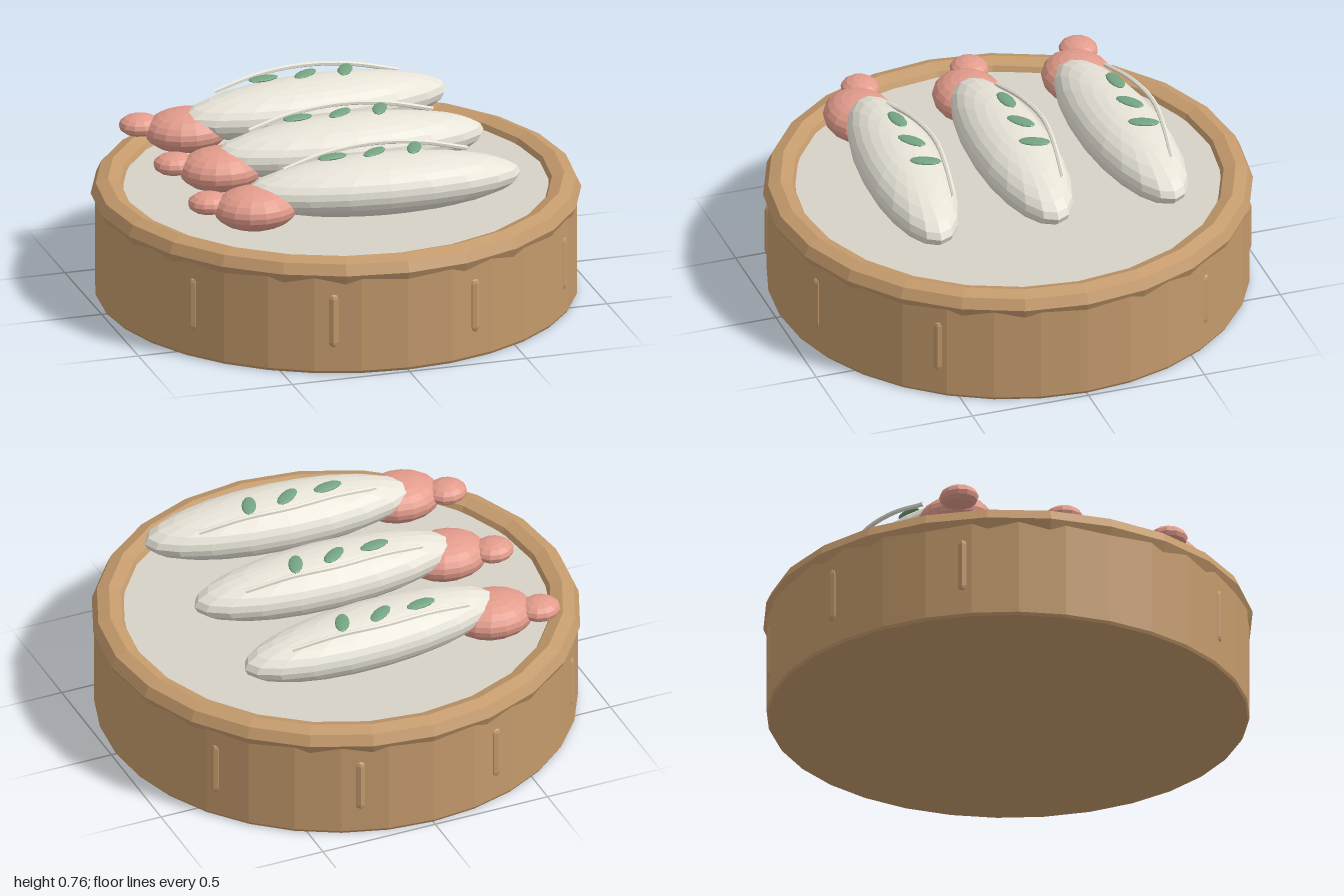
import * as THREE from 'three';

function mat(name, color) {
  const m = new THREE.MeshStandardMaterial({ color, flatShading: true });
  m.name = name;
  return m;
}

export function createModel() {
  const bamboo = mat('bamboo', 0xc49a6c);
  const cloth = mat('cloth', 0xd6d2c6);
  const rice = mat('rice', 0xe8e4d8);
  const pink = mat('pink', 0xe39c8c);
  const green = mat('green', 0x74a482);

  const model = new THREE.Group();
  const add = (parent, name, geometry, material, x = 0, y = 0, z = 0) => {
    const mesh = new THREE.Mesh(geometry, material);
    mesh.name = name;
    mesh.position.set(x, y, z);
    parent.add(mesh);
    return mesh;
  };
  const ellipsoid = (rx, ry, rz, w, h) => new THREE.SphereGeometry(1, w, h).scale(rx, ry, rz);

  // Round basket wall with a closed bottom and a small bevel at its foot
  const wall = [[0, 0], [0.978, 0], [0.985, 0.012], [0.985, 0.42], [0, 0.42]];
  add(model, 'basketWall', new THREE.LatheGeometry(wall.map(p => new THREE.Vector2(...p)), 32), bamboo);

  // Faceted rim
  const rim = new THREE.TorusGeometry(0.93, 0.07, 8, 24).rotateX(Math.PI / 2).scale(1, 0.9, 1);
  add(model, 'rim', rim, bamboo, 0, 0.43, 0);

  // Liner inside the rim
  add(model, 'liner', new THREE.CylinderGeometry(0.87, 0.87, 0.03, 32), cloth, 0, 0.437, 0);

  // Upright pegs around the wall, with none at the two sides
  for (let i = 0; i < 10; i++) {
    if (i % 5 === 0) continue;
    const a = i * Math.PI / 5;
    const peg = add(model, 'peg', new THREE.CapsuleGeometry(0.025, 0.19, 3, 8), bamboo,
      0.966 * Math.cos(a), 0.23, 0.966 * Math.sin(a));
    peg.rotation.y = -a;
  }

  // Three filled rolls; the outer two are turned slightly
  for (const side of [-1, 0, 1]) {
    const roll = new THREE.Group();
    roll.name = 'filledRoll';
    roll.position.z = side * 0.47;
    model.add(roll);

    const wrapper = add(roll, 'wrapper', ellipsoid(0.58, 0.122, 0.174, 20, 14), rice, 0.05, 0.622, 0);
    wrapper.rotation.y = -side * 0.06;

    // Filling that peeks out at one end
    add(roll, 'filling', ellipsoid(0.175, 0.088, 0.146, 16, 12), pink, -0.49, 0.577, 0);
    add(roll, 'fillingTip', ellipsoid(0.087, 0.045, 0.08, 12, 8), pink, -0.67, 0.595, -0.065);

    // Raised fold along the top
    const fold = new THREE.CatmullRomCurve3([
      [-0.35, 0.7, -0.072], [-0.15, 0.738, -0.112], [0.05, 0.748, -0.135],
      [0.25, 0.738, -0.115], [0.44, 0.7, -0.085],
    ].map(p => new THREE.Vector3(...p)));
    add(roll, 'fold', new THREE.TubeGeometry(fold, 16, 0.01, 6), rice);

    // Herb leaves
    [[-0.15, 0.15], [0.03, 0.65], [0.2, 1.15]].forEach(([x, turn]) => {
      const leaf = add(roll, 'leaf', ellipsoid(0.066, 0.01, 0.03, 12, 8), green, x, 0.744, -0.045);
      leaf.rotation.y = turn;
    });
  }
  return model;
}
